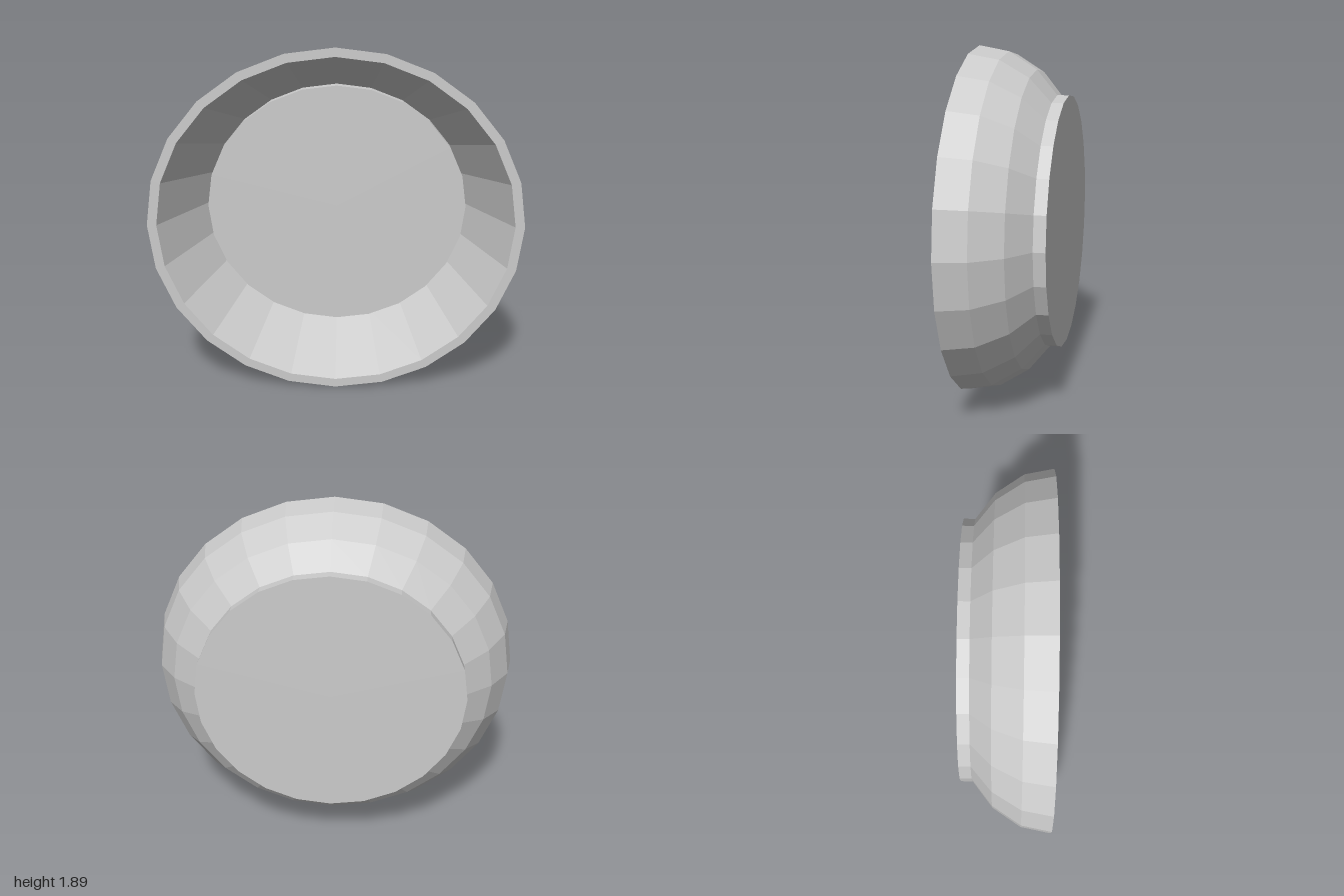
import * as THREE from 'three';

const SIDES = 24;
const HALF_HEIGHT = 0.943; // slightly oval: radius 1 across, less upright

export function createModel() {
  const group = new THREE.Group();
  const material = new THREE.MeshStandardMaterial({ color: 0xcccccc, flatShading: true });

  // Turn a geometry from the y axis to face +z, make it oval and stand it on y = 0
  const addPart = (geometry, name, z = 0) => {
    geometry.rotateX(Math.PI / 2);
    geometry.scale(1, HALF_HEIGHT, 1);
    geometry.translate(0, HALF_HEIGHT, z);
    const mesh = new THREE.Mesh(geometry, material);
    mesh.name = name;
    group.add(mesh);
  };

  // Bowl: curved outside, flat rim, straight sloping inside
  const profile = [
    [0.725, -0.18], [0.867, -0.07], [0.968, 0.082], [1, 0.243],
    [0.95, 0.243], [0.725, -0.18],
  ].map(([r, z]) => new THREE.Vector2(r, z));
  addPart(new THREE.LatheGeometry(profile, SIDES), 'bowl');

  // Base plate: closes the back and forms the floor inside
  addPart(new THREE.CylinderGeometry(0.725, 0.725, 0.123, SIDES), 'basePlate', -0.1815);

  return group;
}
